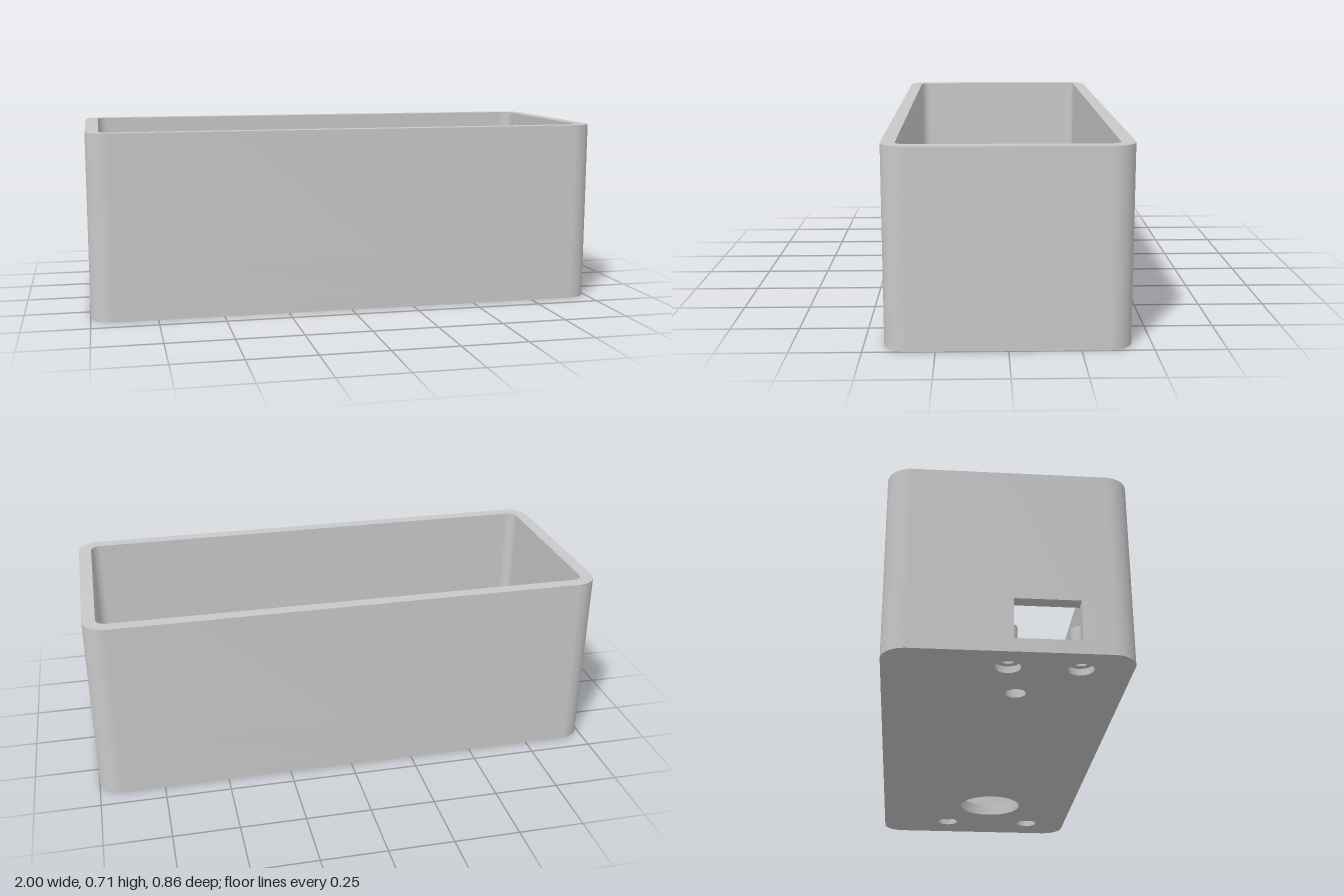
import * as THREE from 'three';
import { toCreasedNormals } from 'three/addons/utils/BufferGeometryUtils.js';

const HX = 1, HZ = 0.43, HEIGHT = 0.707, WALL = 0.05, FLOOR = 0.05;
const BORE_DEPTH = 0.025, PORT_TOP = 0.2, POST_HEIGHT = 0.1;

// Rounded rectangle outline, running counterclockwise from the middle of the -x side.
// A short straight lead on each end of every arc keeps the flat sides evenly shaded.
function outline(hx, hz, r) {
  const corners = [[-1, -1, Math.PI], [1, -1, Math.PI * 1.5], [1, 1, 0], [-1, 1, Math.PI / 2]];
  const lead = 0.003;
  const pts = [];
  for (const [sx, sy, start] of corners) {
    const at = (a, back) => new THREE.Vector2(
      sx * (hx - r) + r * Math.cos(a) + back * Math.sin(a),
      sy * (hz - r) + r * Math.sin(a) - back * Math.cos(a));
    pts.push(at(start, lead));
    for (let i = 0; i <= 12; i++) pts.push(at(start + (i / 12) * Math.PI / 2, 0));
    pts.push(at(start + Math.PI / 2, -lead));
  }
  return pts;
}

// Circular path at plan position x, z
function circle(x, z, r, PathClass = THREE.Path) {
  return new PathClass().absarc(x, -z, r, 0, Math.PI * 2, false);
}

export function createModel() {
  const model = new THREE.Group();
  model.name = 'enclosure';
  const grey = new THREE.MeshStandardMaterial({ color: 0xc8c8c8 });
  grey.name = 'grey plastic';

  // Extrude a plan shape upward from y0 to y1
  function slab(name, shape, holes, y0, y1) {
    shape.holes.push(...holes);
    const geo = new THREE.ExtrudeGeometry(shape, { depth: y1 - y0, bevelEnabled: false, curveSegments: 24 });
    geo.rotateX(-Math.PI / 2).translate(0, y0, 0);
    const mesh = new THREE.Mesh(toCreasedNormals(geo, 0.6), grey);
    mesh.name = name;
    model.add(mesh);
  }

  const outer = outline(HX, HZ, 0.087);
  const inner = outline(HX - WALL, HZ - WALL, 0.04);

  // Screw posts [x, z, radius, hole radius] and solid support posts [x, z, radius]
  const screwPosts = [[-0.88, 0, 0.034, 0.024], [-0.88, 0.25, 0.034, 0.024],
    [0.842, -0.13, 0.043, 0.026], [0.842, 0.25, 0.043, 0.026]];
  const solidPosts = [[0.147, 0, 0.032], [0.147, 0.25, 0.032], [0.34, -0.13, 0.043], [0.34, 0.25, 0.043]];
  const recesses = screwPosts.map(([x, z]) => circle(x, z, 0.045));
  const screwHoles = screwPosts.map(([x, z, , hole]) => circle(x, z, hole));
  const openings = [circle(0.59, 0.055, 0.133), circle(-0.67, 0.047, 0.037)];

  // Floor: wide screw-head recesses underneath, narrow holes above
  slab('floorUnderside', new THREE.Shape(outer), [...recesses, ...openings], 0, BORE_DEPTH);
  slab('floorTop', new THREE.Shape(outer), [...screwHoles, ...openings], BORE_DEPTH, FLOOR);

  // Lower wall, broken on the -x end by the cable port
  const v = (x, z) => new THREE.Vector2(x, -z);
  const portA = 0.01, portB = 0.24;
  const lower = [v(-HX, portB), ...outer, v(-HX, portA),
    v(-HX + WALL, portA), ...inner.slice().reverse(), v(-HX + WALL, portB)];
  slab('lowerWall', new THREE.Shape(lower), [], FLOOR, PORT_TOP);

  // Upper wall up to the open rim
  slab('upperWall', new THREE.Shape(outer), [new THREE.Path(inner)], PORT_TOP, HEIGHT);

  // Posts standing on the floor
  for (const [x, z, r, hole] of screwPosts) {
    slab('screwPost', circle(x, z, r, THREE.Shape), [circle(x, z, hole)], FLOOR, FLOOR + POST_HEIGHT);
  }
  for (const [x, z, r] of solidPosts) {
    slab('supportPost', circle(x, z, r, THREE.Shape), [], FLOOR, FLOOR + POST_HEIGHT);
  }
  return model;
}
